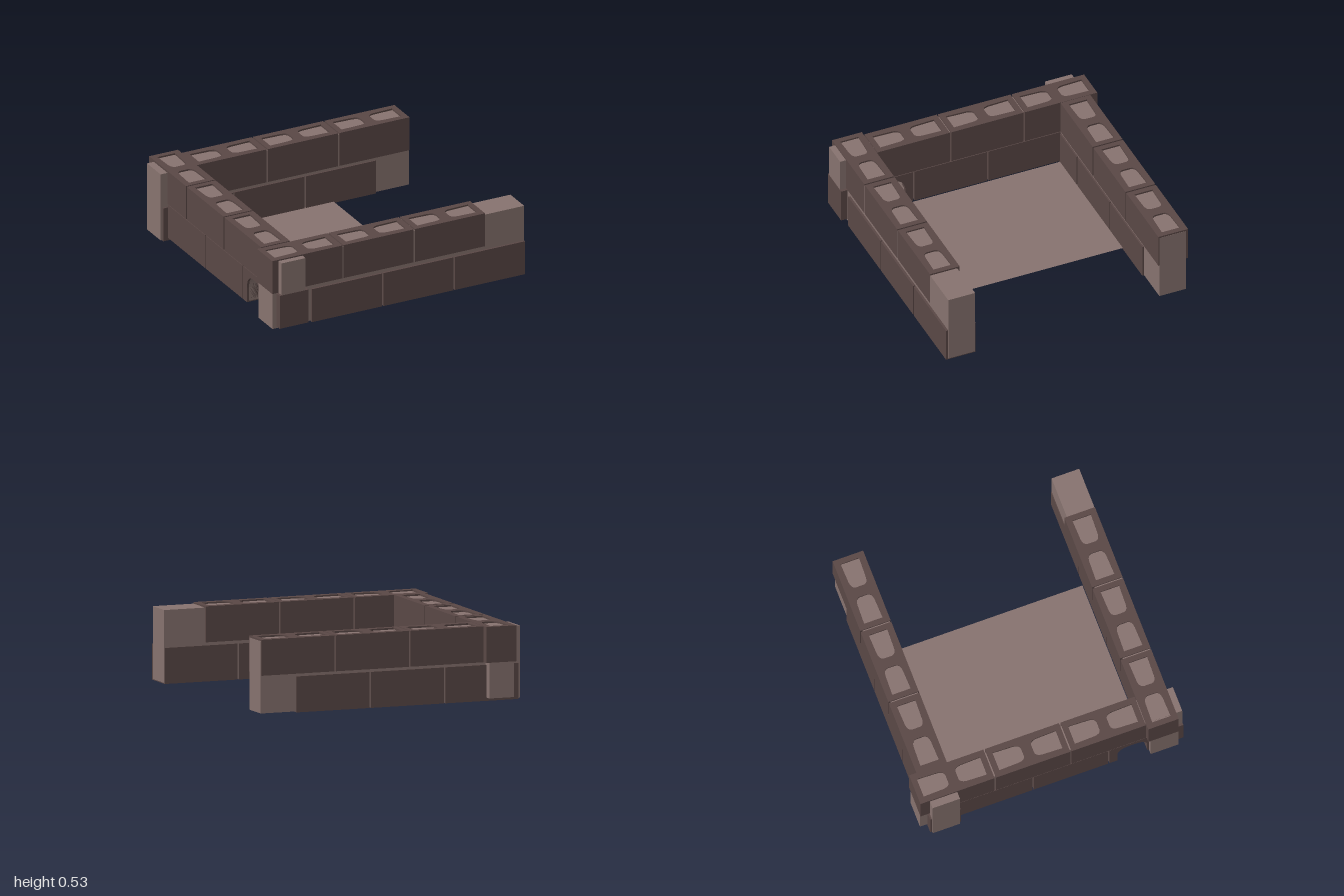
import * as THREE from 'three';

const block = new THREE.MeshStandardMaterial({ color: 0x5a4846 });
block.name = 'darkBlock';
const mortar = new THREE.MeshStandardMaterial({ color: 0x87736f });
mortar.name = 'paleMortar';
const floorMat = new THREE.MeshStandardMaterial({ color: 0x87736f, side: THREE.DoubleSide });
floorMat.name = 'paleFloor';

const LEN = 0.55, WIDE = 0.226, HIGH = 0.253, PITCH = 0.561;

// One cell of a hollow block: square outer end, rounded end towards the web
function cell(side) {
  const p = new THREE.Path();
  const a = side * 0.235, b = side * 0.037, h = 0.069;
  p.moveTo(a, -h);
  p.lineTo(side * 0.085, -h + 0.005);
  p.quadraticCurveTo(side * 0.04, -h + 0.01, b, -0.03);
  p.lineTo(b, 0.03);
  p.quadraticCurveTo(side * 0.04, h - 0.01, side * 0.085, h - 0.005);
  p.lineTo(a, h);
  p.closePath();
  return p;
}

// Hollow block lying along x, base at y = 0
function hollowBlock() {
  const s = new THREE.Shape();
  const l = LEN / 2, w = WIDE / 2;
  s.moveTo(-l, -w).lineTo(l, -w).lineTo(l, w).lineTo(-l, w).closePath();
  s.holes.push(cell(1), cell(-1));
  const g = new THREE.ExtrudeGeometry(s, { depth: HIGH, bevelEnabled: false, curveSegments: 4 });
  return g.rotateX(-Math.PI / 2);
}

// Side-wall slab in the z-y plane with the arched opening cut from its base
function archedSlab(z0, z1, y0, y1, thick) {
  const a = 0.485, b = 0.707, spring = 0.135, top = 0.235;
  const s = new THREE.Shape();
  s.moveTo(z0, y0);
  s.lineTo(a, y0);
  s.lineTo(a, spring);
  s.bezierCurveTo(a, 0.195, a + 0.03, top, a + 0.085, top);
  s.lineTo(b - 0.085, top);
  s.bezierCurveTo(b - 0.03, top, b, 0.195, b, spring);
  s.lineTo(b, y0);
  s.lineTo(z1, y0);
  s.lineTo(z1, y1);
  s.lineTo(z0, y1);
  s.closePath();
  const g = new THREE.ExtrudeGeometry(s, { depth: thick, bevelEnabled: false, curveSegments: 8 });
  return g.translate(0, 0, -thick / 2).rotateY(-Math.PI / 2);
}

export function createModel() {
  const model = new THREE.Group();
  model.name = 'blockEnclosure';
  const blockGeo = hollowBlock();

  const add = (name, geo, mat, x, y, z) => {
    const m = new THREE.Mesh(geo, mat);
    m.name = name;
    m.position.set(x, y, z);
    model.add(m);
    return m;
  };

  // A course of blocks from "start" along x, or along z for the side wall
  function course(name, start, y, across, alongZ = false, count = 3) {
    for (let i = 0; i < count; i++) {
      const c = start + LEN / 2 + i * PITCH;
      const m = add(name, blockGeo, block, alongZ ? across : c, y, alongZ ? c : across);
      if (alongZ) m.rotation.y = -Math.PI / 2;
    }
  }

  // Front wall
  course('frontLowerBlock', -0.674, 0.003, 0.829);
  course('frontUpperBlock', -0.98, 0.28, 0.815);
  // Back wall
  course('backLowerBlock', -0.985, 0.008, -0.804);
  course('backUpperBlock', -0.72, 0.281, -0.808);
  // Side wall, whose lower course ends in the arched block
  course('sideLowerBlock', -0.695, 0.025, -0.833, true, 2);
  course('sideUpperBlock', -0.975, 0.283, -0.833, true);
  add('archBlock', archedSlab(0.427, 0.975, 0.025, 0.278, WIDE), block, -0.833, 0, 0);

  // Mortar cores filling the cells and showing at the joints and ends
  const core = (name, x0, x1, y0, y1, z0, z1) =>
    add(name, new THREE.BoxGeometry(x1 - x0, y1 - y0, z1 - z0), mortar,
      (x0 + x1) / 2, (y0 + y1) / 2, (z0 + z1) / 2);
  core('frontCore', -0.978, 1, 0.01, 0.522, 0.721, 0.926);
  core('backCore', -1, 0.953, 0.014, 0.522, -0.905, -0.702);
  add('sideCore', archedSlab(-0.973, 0.973, 0.032, 0.524, 0.187), mortar, -0.836, 0, 0);

  // Floor sheet
  const floor = new THREE.PlaneGeometry(1.075, 1.42).rotateX(-Math.PI / 2);
  add('floor', floor, floorMat, -0.183, 0.018, 0);

  // Rest the lowest course on the ground
  model.children.forEach((m) => { m.position.y -= 0.003; });
  return model;
}
